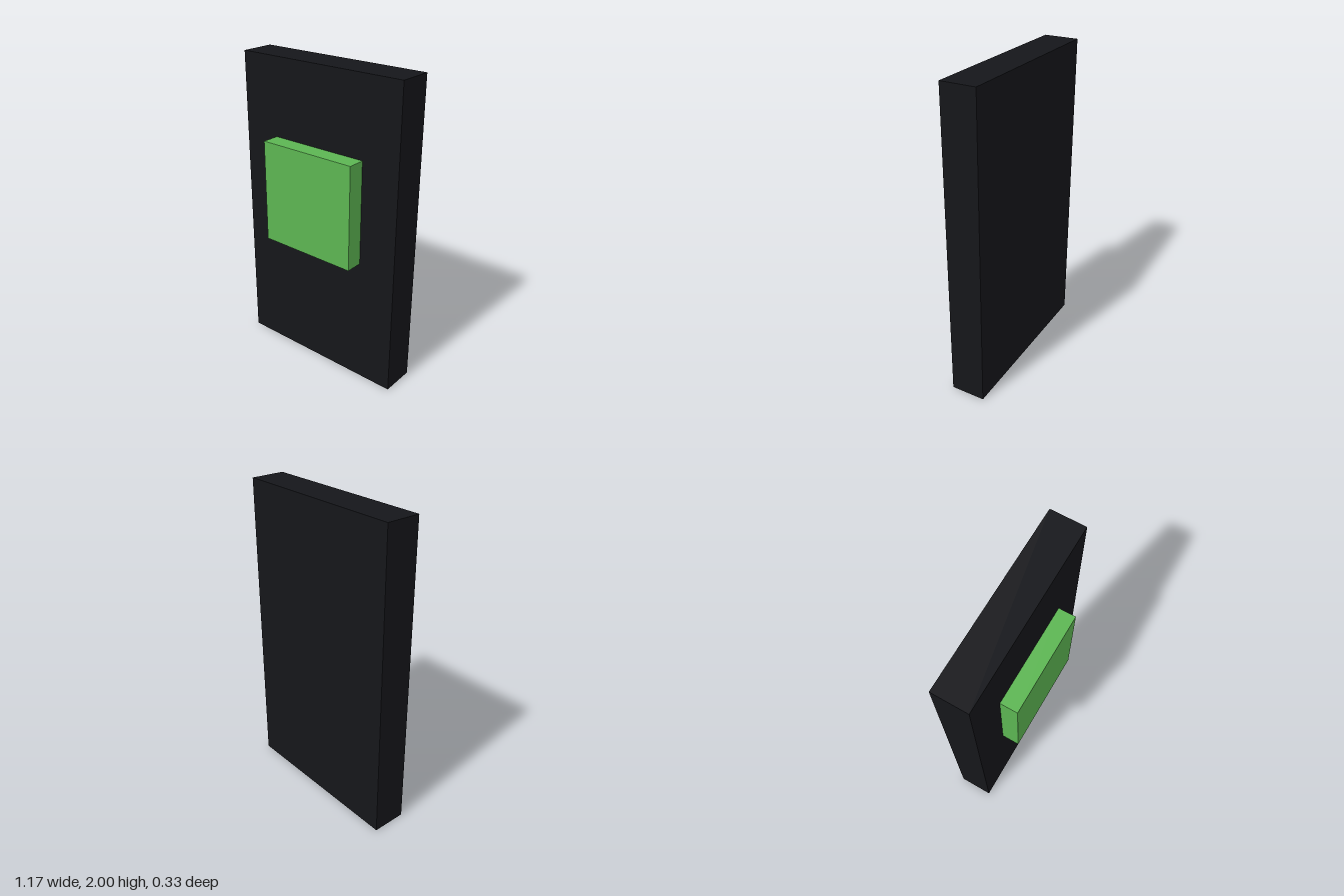
import * as THREE from 'three';

// Axis-aligned box given by its minimum and maximum corners
function slab(name, color, min, max) {
  const size = max.map((v, i) => v - min[i]);
  const mesh = new THREE.Mesh(
    new THREE.BoxGeometry(...size),
    new THREE.MeshStandardMaterial({ color })
  );
  mesh.position.set(...max.map((v, i) => (v + min[i]) / 2));
  mesh.name = name;
  return mesh;
}

export function createModel() {
  const group = new THREE.Group();
  group.name = 'panelWithButton';

  // Tall dark backing plate
  group.add(slab('backPlate', 0x15161a, [-0.583, 0, -0.167], [0.583, 2, 0.055]));

  // Raised square button on the front, above the middle
  group.add(slab('button', 0x5cb552, [-0.333, 0.833, 0.055], [0.333, 1.5, 0.167]));

  return group;
}
